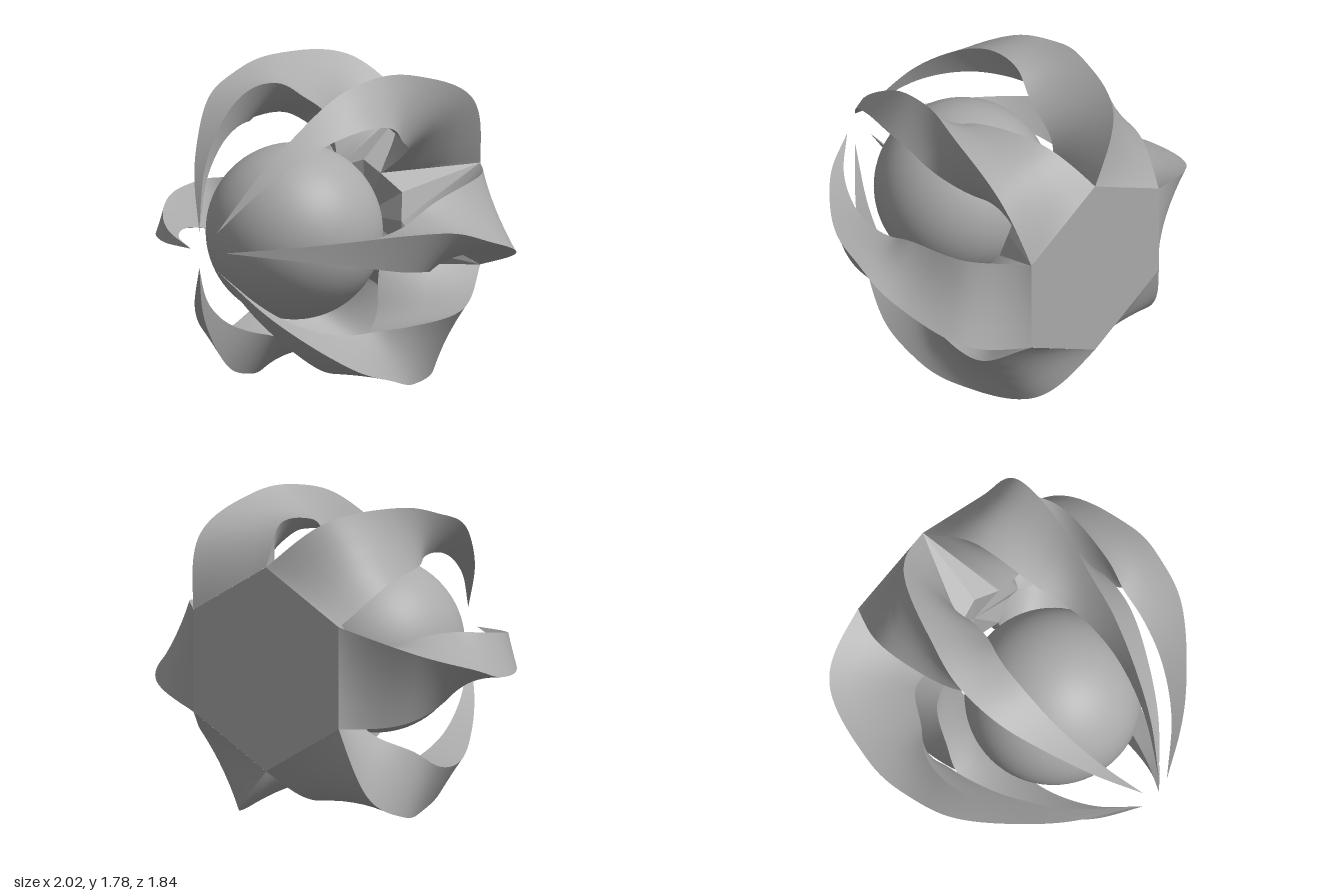
import * as THREE from 'three';

const grey = new THREE.MeshStandardMaterial({ color: 0xaaaaaa });
grey.name = 'grey';
const RAD = Math.PI / 180;

// Stations along a claw: radius from axis, z, heading (deg), section size, twist (deg)
const STATIONS = [
  [0.4305, -0.7685, 24, 0.332, 0],
  [0.715, -0.59, 43, 0.28, 26],
  [0.812, -0.25, 64, 0.214, 55],
  [0.825, -0.03, 86, 0.167, 84],
  [0.78, 0.2, 108, 0.135, 98],
  [0.64, 0.45, 125, 0.085, 108],
  [0.42, 0.7, 136, 0.042, 115],
  [0.12, 0.917, 145, 0, 120],
];

// Triangular section swept along the curve, twisting and shrinking to a point
function clawGeometry(steps = 96) {
  const path = new THREE.CatmullRomCurve3(
    STATIONS.map(s => new THREE.Vector3(s[0], s[1], 0)), false, 'catmullrom', 0.5);
  const shape = new THREE.CatmullRomCurve3(
    STATIONS.map(s => new THREE.Vector3(s[2], s[3], s[4])), false, 'catmullrom', 0.5);

  const corner = (t, k) => {
    const p = path.getPoint(t), s = shape.getPoint(t);
    const heading = s.x * RAD, size = Math.max(s.y, 0);
    const a = (-60 + 120 * k + s.z) * RAD;
    const u = size * Math.cos(a), v = size * Math.sin(a);
    return [p.x + u * Math.sin(heading), v, p.y - u * Math.cos(heading)];
  };

  // Each side has its own vertices so the three ridges stay sharp
  const pos = [], index = [];
  const across = 4;
  for (let k = 0; k < 3; k++) {
    const base = pos.length / 3;
    for (let i = 0; i <= steps; i++) {
      const a = corner(i / steps, k), b = corner(i / steps, k + 1);
      for (let j = 0; j <= across; j++) {
        const f = j / across;
        pos.push(...a.map((c, n) => c + (b[n] - c) * f));
      }
    }
    for (let i = 0; i < steps; i++) {
      for (let j = 0; j < across; j++) {
        const a = base + i * (across + 1) + j, b = a + across + 1;
        index.push(a, a + 1, b + 1, a, b + 1, b);
      }
    }
  }
  const g = new THREE.BufferGeometry();
  g.setAttribute('position', new THREE.Float32BufferAttribute(pos, 3));
  g.setIndex(index);
  g.computeVertexNormals();
  return g;
}

// Hexagonal back narrowing to a small dented front; the claws cover its six sides
function baseGeometry() {
  const polar = (deg, r, z) => [r * Math.cos(deg * RAD), r * Math.sin(deg * RAD), z];
  const pos = [];
  for (let a = 0; a < 360; a += 60) {
    const back = polar(a + 30, 0.575, -0.92), nextBack = polar(a + 90, 0.575, -0.92);
    const front = polar(a, 0.296, -0.465), nextFront = polar(a + 60, 0.296, -0.465);
    const dent = polar(a + 30, 0.31, -0.505);
    pos.push(...back, ...nextFront, ...dent, ...back, ...dent, ...front);
    pos.push(0, 0, -0.51, ...front, ...dent, 0, 0, -0.51, ...dent, ...nextFront);
    pos.push(0, 0, -0.92, ...nextBack, ...back);
  }
  const g = new THREE.BufferGeometry();
  g.setAttribute('position', new THREE.Float32BufferAttribute(pos, 3));
  g.computeVertexNormals();
  return g;
}

export function createModel() {
  const model = new THREE.Group();
  model.name = 'clawedOrb';

  const add = (name, geometry) => {
    const mesh = new THREE.Mesh(geometry, grey);
    mesh.name = name;
    mesh.position.y = 0.895;
    model.add(mesh);
    return mesh;
  };

  // Ball held in the middle
  add('ball', new THREE.SphereGeometry(0.493, 64, 40)).position.z = 0.128;

  // Base behind the ball
  add('hexagonalBase', baseGeometry());

  // Six twisted claws around the axis
  const claw = clawGeometry();
  for (let i = 0; i < 6; i++) {
    add('claw' + (i + 1), claw).rotation.z = i * 60 * RAD;
  }
  return model;
}
